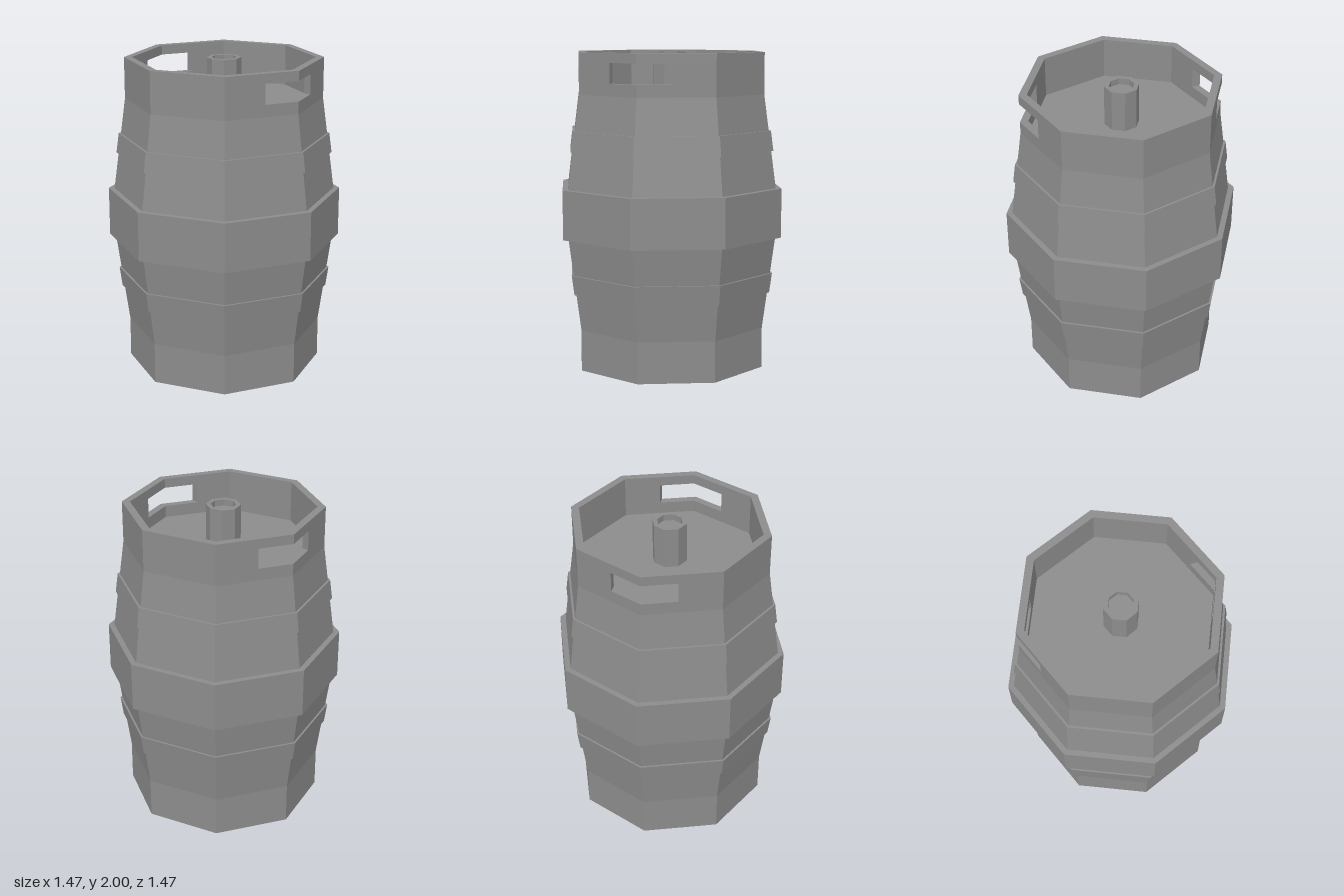
import * as THREE from 'three';

const SIDES = 8;
const R_OUT = 0.62, R_IN = 0.57;   // collar radii
const FLOOR = 1.74;                // lid height inside the collar
const HOLE = { z: 0.2, y0: 1.815, y1: 1.94 }; // hand holes

export function createModel() {
  const keg = new THREE.Group();
  keg.name = 'keg';
  const steel = new THREE.MeshStandardMaterial({ color: 0x8c8c8c });
  steel.name = 'steel grey';

  function add(name, geometry) {
    const flat = geometry.index ? geometry.toNonIndexed() : geometry;
    flat.computeVertexNormals(); // one normal per facet
    const mesh = new THREE.Mesh(flat, steel);
    mesh.name = name;
    keg.add(mesh);
  }

  // Eight-sided turned part from [radius, height] pairs, bottom to top
  const turned = (pairs) =>
    new THREE.LatheGeometry(pairs.map(([r, y]) => new THREE.Vector2(r, y)), SIDES);

  // Barrel with closed base and lid
  add('barrel', turned([
    [0, 0], [R_OUT, 0], [R_OUT, 0.26], [0.7, 0.845],
    [0.7, 1.155], [R_OUT, FLOOR], [0, FLOOR],
  ]));

  // Hoops
  add('middleBand', turned([[0.69, 0.845], [0.737, 0.845], [0.737, 1.155], [0.69, 1.155]]));
  add('lowerHoop', turned([[0.64, 0.49], [0.665, 0.49], [0.682, 0.615], [0.66, 0.615]]));
  add('upperHoop', turned([[0.66, 1.39], [0.682, 1.39], [0.665, 1.515], [0.64, 1.515]]));

  // Collar: plan outlines raised between two heights
  const octagon = (r) => Array.from({ length: SIDES }, (_, i) => {
    const a = (i / SIDES) * Math.PI * 2;
    return new THREE.Vector2(r * Math.cos(a), r * Math.sin(a));
  });
  const raise = (shape, y0, y1) =>
    new THREE.ExtrudeGeometry(shape, { depth: y1 - y0, bevelEnabled: false })
      .rotateX(-Math.PI / 2).translate(0, y0, 0);

  const ring = new THREE.Shape(octagon(R_OUT));
  ring.holes.push(new THREE.Path(octagon(R_IN).reverse()));
  add('collarBase', raise(ring, FLOOR, HOLE.y0));
  add('collarRim', raise(ring, HOLE.y1, 2));

  // Collar walls between the two hand holes, which wrap the side corners
  const arc = (r) => {
    const x = r - HOLE.z * Math.tan(Math.PI / SIDES);
    return [new THREE.Vector2(x, HOLE.z), ...octagon(r).slice(1, 4), new THREE.Vector2(-x, HOLE.z)];
  };
  const wall = new THREE.Shape([...arc(R_OUT), ...arc(R_IN).reverse()]);
  add('collarBackWall', raise(wall, HOLE.y0, HOLE.y1));
  add('collarFrontWall', raise(wall, HOLE.y0, HOLE.y1).rotateY(Math.PI));

  // Filling valve with a shallow recess
  add('valve', turned([[0.107, FLOOR], [0.107, 2], [0.078, 2], [0.078, 1.96], [0, 1.96]]));

  return keg;
}
